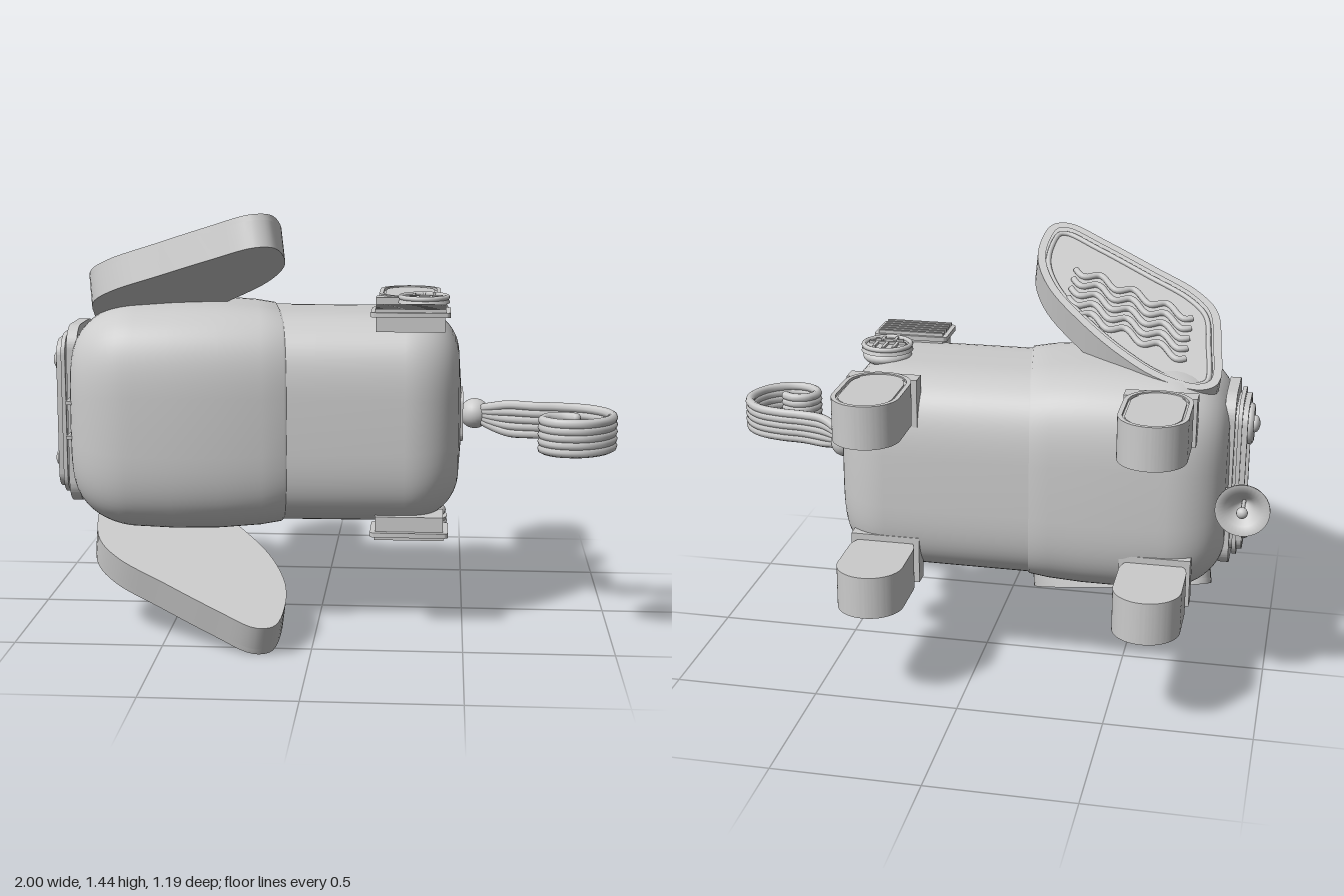
import * as THREE from 'three';
import { mergeVertices, toCreasedNormals } from 'three/addons/utils/BufferGeometryUtils.js';

const MID = 0.725; // height of the mirror plane; all parts are built around it
const mat = new THREE.MeshStandardMaterial({ color: 0xcccccc });
const V = (x, y, z) => new THREE.Vector3(x, y, z);

function roundedRect(w, h, r) {
  const s = new THREE.Shape();
  s.absarc(w / 2 - r, h / 2 - r, r, 0, Math.PI / 2);
  s.absarc(-w / 2 + r, h / 2 - r, r, Math.PI / 2, Math.PI);
  s.absarc(-w / 2 + r, -h / 2 + r, r, Math.PI, Math.PI * 1.5);
  s.absarc(w / 2 - r, -h / 2 + r, r, Math.PI * 1.5, Math.PI * 2);
  s.closePath();
  return s;
}

function ring(outer, inner) {
  const s = outer.clone();
  s.holes.push(inner);
  return s;
}

function extrude(shape, depth) {
  const g = new THREE.ExtrudeGeometry(shape, { depth, bevelEnabled: false, curveSegments: 16 });
  return toCreasedNormals(g, 0.6);
}

// Extrudes upward from height y; the shape's y becomes -z
const slab = (shape, depth, y) => extrude(shape, depth).rotateX(-Math.PI / 2).translate(0, y, 0);

const tube = (pts, r, closed = false, seg = 64) =>
  new THREE.TubeGeometry(new THREE.CatmullRomCurve3(pts, closed), seg, r, 8, closed);

// Geometry reflected through the mirror plane with its winding restored
function reflect(geo) {
  const g = mergeVertices(geo.clone());
  g.scale(1, -1, 1);
  const n = g.attributes.normal, idx = g.index;
  for (let i = 0; i < idx.count; i += 3) {
    const b = idx.getX(i + 1);
    idx.setX(i + 1, idx.getX(i + 2));
    idx.setX(i + 2, b);
  }
  n.needsUpdate = true;
  return g;
}

// Skin over squarish sections [x, halfWidth, zMin, zMax, skew]
function loft(sections, n = 3.6, seg = 72) {
  const pos = [], idx = [];
  const pw = (t) => Math.sign(t) * Math.abs(t) ** (2 / n);
  for (const [x, h, z0, z1, skew] of sections) {
    for (let j = 0; j < seg; j++) {
      const a = (j / seg) * Math.PI * 2;
      const z = (z0 + z1) / 2 + ((z1 - z0) / 2) * pw(Math.sin(a));
      pos.push(x + skew * (z - 0.06), h * pw(Math.cos(a)), z);
    }
  }
  for (let i = 0; i < sections.length - 1; i++) {
    for (let j = 0; j < seg; j++) {
      const a = i * seg + j, b = i * seg + ((j + 1) % seg);
      idx.push(a, b, a + seg, b, b + seg, a + seg);
    }
  }
  const g = new THREE.BufferGeometry();
  g.setAttribute('position', new THREE.Float32BufferAttribute(pos, 3));
  g.setIndex(idx);
  g.computeVertexNormals();
  return g;
}

export function createModel() {
  const root = new THREE.Group();
  root.name = 'pigToy';
  const body = new THREE.Group();
  body.name = 'pig';
  body.position.y = MID;
  root.add(body);

  const add = (name, geo) => {
    const m = new THREE.Mesh(geo, mat);
    m.name = name;
    body.add(m);
  };
  const pair = (name, geo) => {
    add(name + 'Left', geo);
    add(name + 'Right', reflect(geo));
  };

  // Rear body with a rounded end
  const rear = [[-0.25, 0.362, -0.288, 0.362, 0], [0.0, 0.361, -0.29, 0.362, 0]];
  for (let i = 0; i <= 12; i++) {
    const a = (i / 12) * Math.PI / 2, d = 0.16 * (1 - Math.cos(a));
    rear.push([0.3 + 0.18 * Math.sin(a), 0.36 - d, -0.29 + d, 0.36 - d, 0]);
  }
  rear.push([0.488, 0.08, -0.05, 0.15, 0], [0.489, 0, 0.05, 0.05, 0]);
  add('rearBody', loft(rear));

  // Head, slightly larger, ending in a slanted seam
  const head = [[-0.855, 0, 0.06, 0.06, 0], [-0.853, 0.15, -0.05, 0.18, 0]];
  for (let i = 12; i >= 0; i--) {
    const a = (i / 12) * Math.PI / 2, d = 0.17 * (1 - Math.cos(a));
    head.push([-0.62 - 0.225 * Math.sin(a), 0.386 - d, -0.285 + d, 0.415 - d, 0.04 * Math.cos(a)]);
  }
  head.push([-0.5, 0.39, -0.292, 0.42, 0.06], [-0.35, 0.388, -0.294, 0.41, 0.1],
    [-0.22, 0.379, -0.293, 0.388, 0.14], [-0.15, 0.368, -0.291, 0.37, 0.16], [-0.135, 0.35, -0.28, 0.355, 0.16]);
  add('head', loft(head));

  // Ears: tilted plates with a raised rim and wavy ridges
  const b = 0.15, c = 0.4, n = V(-b, 1, -c).normalize();
  const tilt = new THREE.Matrix4().makeBasis(V(1, b, 0), n, V(0, c, 1)).setPosition(0, 0.52, 0);
  const outline = [[-0.8, -0.09], [-0.74, -0.14], [-0.6, -0.125], [-0.45, -0.045], [-0.3, 0.075], [-0.18, 0.2],
    [-0.115, 0.33], [-0.105, 0.44], [-0.13, 0.545], [-0.19, 0.57], [-0.33, 0.515], [-0.52, 0.425],
    [-0.68, 0.345], [-0.76, 0.26], [-0.79, 0.1]];
  const earPts = (inset) => new THREE.CatmullRomCurve3(outline.map(([x, z]) => V(x, z, 0)), true)
    .getPoints(72).slice(0, 72).map((p, i, all) => {
      const t = all[(i + 1) % 72].clone().sub(all[(i + 71) % 72]).normalize();
      return new THREE.Vector2(p.x - t.y * inset, -(p.y + t.x * inset));
    });
  const ear = new THREE.Shape(earPts(0));
  pair('ear', slab(ear, 0.09, -0.11).applyMatrix4(tilt));
  pair('earRim', slab(ring(ear, new THREE.Path(earPts(0.028))), 0.02, -0.02).applyMatrix4(tilt));
  pair('earBead', tube(earPts(0.04).map((p) => V(p.x, -0.017, -p.y)), 0.009, true, 120).applyMatrix4(tilt));
  for (let k = 0; k < 5; k++) {
    const pts = [];
    for (let i = 0; i <= 28; i++) {
      const t = i / 28;
      pts.push(V(-0.68 + 0.43 * t, -0.014, 0.01 + 0.051 * k + 0.13 * t - 0.02 * Math.sin(t * Math.PI * 7)));
    }
    pair('earWave' + (k + 1), tube(pts, 0.011).applyMatrix4(tilt));
  }

  // Legs: thick rounded slabs with a rimmed outer face and a bracket on the body
  for (const [name, x] of [['front', -0.63], ['rear', 0.3]]) {
    const leg = roundedRect(0.225, 0.36, 0.112);
    pair(name + 'Leg', slab(leg, 0.137, 0.225).translate(x, 0, -0.404));
    pair(name + 'LegRim', slab(ring(leg, roundedRect(0.195, 0.33, 0.097)), 0.01, 0.362).translate(x, 0, -0.404));
    pair(name + 'LegPanel', slab(roundedRect(0.18, 0.315, 0.09), 0.006, 0.362).translate(x, 0, -0.404));
    pair(name + 'LegBracket', new THREE.BoxGeometry(0.24, 0.165, 0.06).translate(x, 0.285, -0.25));
  }

  // Snout: stacked rounded plates, rim and nostrils
  const snoutPart = (w, h, r, x, depth, hole) => {
    const s = roundedRect(w, h, r);
    return extrude(hole ? ring(s, roundedRect(w - hole, h - hole, r - hole / 2)) : s, depth)
      .rotateY(-Math.PI / 2).translate(x, 0, 0.07);
  };
  add('snoutBase', snoutPart(0.3, 0.62, 0.08, -0.825, 0.036));
  add('snoutNeck', snoutPart(0.25, 0.52, 0.06, -0.86, 0.015));
  add('snoutPlate', snoutPart(0.27, 0.56, 0.07, -0.87, 0.014));
  add('snoutRim', snoutPart(0.25, 0.52, 0.06, -0.88, 0.022, 0.036));
  const dome = new THREE.SphereGeometry(1, 28, 16);
  pair('nostril', dome.clone().scale(0.03, 0.075, 0.075).translate(-0.89, 0.175, 0.07));
  pair('nostrilRing', new THREE.TorusGeometry(0.058, 0.014, 8, 32).rotateY(Math.PI / 2).translate(-0.905, 0.175, 0.07));
  pair('nostrilButton', dome.clone().scale(0.018, 0.03, 0.03).translate(-0.92, 0.175, 0.07));

  // Small clip above the snout
  add('clipBar', new THREE.BoxGeometry(0.012, 0.18, 0.1).translate(-0.812, 0, 0.26));
  pair('clipArm', new THREE.BoxGeometry(0.04, 0.012, 0.09).translate(-0.832, 0.06, 0.25));

  // Bell hanging below the snout, mouth toward -z
  const bell = new THREE.LatheGeometry([[0, 0.162], [0.025, 0.164], [0.037, 0.178], [0.043, 0.21], [0.05, 0.245],
    [0.064, 0.27], [0.09, 0.287], [0.09, 0.295], [0.06, 0.284], [0.035, 0.25], [0, 0.2]]
    .map(([r, z]) => new THREE.Vector2(r, -z)).reverse(), 36);
  const bellMesh = new THREE.Mesh(bell.rotateX(Math.PI / 2), mat.clone());
  bellMesh.material.side = THREE.DoubleSide;
  bellMesh.name = 'bell';
  bellMesh.position.x = -0.912;
  body.add(bellMesh);
  add('bellClapper', new THREE.SphereGeometry(0.019, 16, 12).translate(-0.912, 0, -0.311));
  add('bellClapperRod', new THREE.CylinderGeometry(0.007, 0.007, 0.1, 8).rotateX(Math.PI / 2).translate(-0.912, 0, -0.26));
  add('bellHook', tube([V(-0.905, 0, -0.16), V(-0.892, 0, -0.14), V(-0.885, 0, -0.12), V(-0.83, 0, -0.125)], 0.01, false, 20));
  add('bellHookRing', new THREE.TorusGeometry(0.022, 0.008, 8, 20).rotateX(Math.PI / 2).translate(-0.89, 0, -0.128));

  // Tail: plate, ball and a curl of stacked cords
  add('tailPlate', extrude(roundedRect(0.2, 0.165, 0.03), 0.012).rotateY(Math.PI / 2).translate(0.482, 0, 0.07));
  add('tailBall', new THREE.SphereGeometry(0.052, 24, 16).translate(0.535, 0, 0.06));
  const curl = [[0.55, 0.07], [0.59, 0.115], [0.65, 0.155], [0.73, 0.178], [0.82, 0.187], [0.91, 0.215], [0.97, 0.28],
    [0.982, 0.36], [0.945, 0.44], [0.87, 0.488], [0.79, 0.478], [0.75, 0.425], [0.77, 0.375], [0.82, 0.358], [0.86, 0.375]];
  for (let k = -2; k <= 2; k++) {
    // cords fan out from the ball
    const pts = curl.map(([x, z], i) => V(x, 0.0235 * k * Math.min(1, 0.35 + i * 0.33), z));
    add('tailCord' + (k + 3), tube(pts, 0.0165, false, 80));
    const [ex, ez] = curl[curl.length - 1];
    add('tailCordEnd' + (k + 3), new THREE.SphereGeometry(0.0165, 10, 8).translate(ex, 0.0235 * k, ez));
  }

  // Round side medallions on a domed base
  const mx = 0.355;
  pair('medallionBase', dome.clone().scale(0.085, 0.035, 0.085).translate(mx, 0.36, 0.005));
  pair('medallion', new THREE.CylinderGeometry(0.084, 0.09, 0.018, 40).translate(mx, 0.387, 0.005));
  pair('medallionRim', new THREE.TorusGeometry(0.081, 0.009, 8, 40).rotateX(Math.PI / 2).translate(mx, 0.398, 0.005));
  for (const [i, [x, z, w, d]] of [[0, 0.005, 0.13, 0.01], [-0.035, -0.025, 0.01, 0.06], [0, -0.03, 0.01, 0.07],
    [0.035, -0.025, 0.01, 0.06], [0, 0.035, 0.1, 0.01], [-0.02, 0.045, 0.01, 0.04], [0.025, 0.045, 0.01, 0.04]].entries())
    pair('medallionBar' + (i + 1), new THREE.BoxGeometry(w, 0.012, d).translate(mx + x, 0.399, 0.005 + z));

  // Slatted side vents
  pair('ventBlock', new THREE.BoxGeometry(0.23, 0.06, 0.125).translate(0.315, 0.345, 0.245));
  pair('ventPlate', slab(roundedRect(0.265, 0.165, 0.018), 0.016, 0.366).translate(0.315, 0, 0.245));
  for (let k = 0; k < 6; k++)
    pair('ventSlat' + (k + 1), new THREE.BoxGeometry(0.235, 0.012, 0.012).translate(0.315, 0.387, 0.18 + 0.026 * k));

  return root;
}
